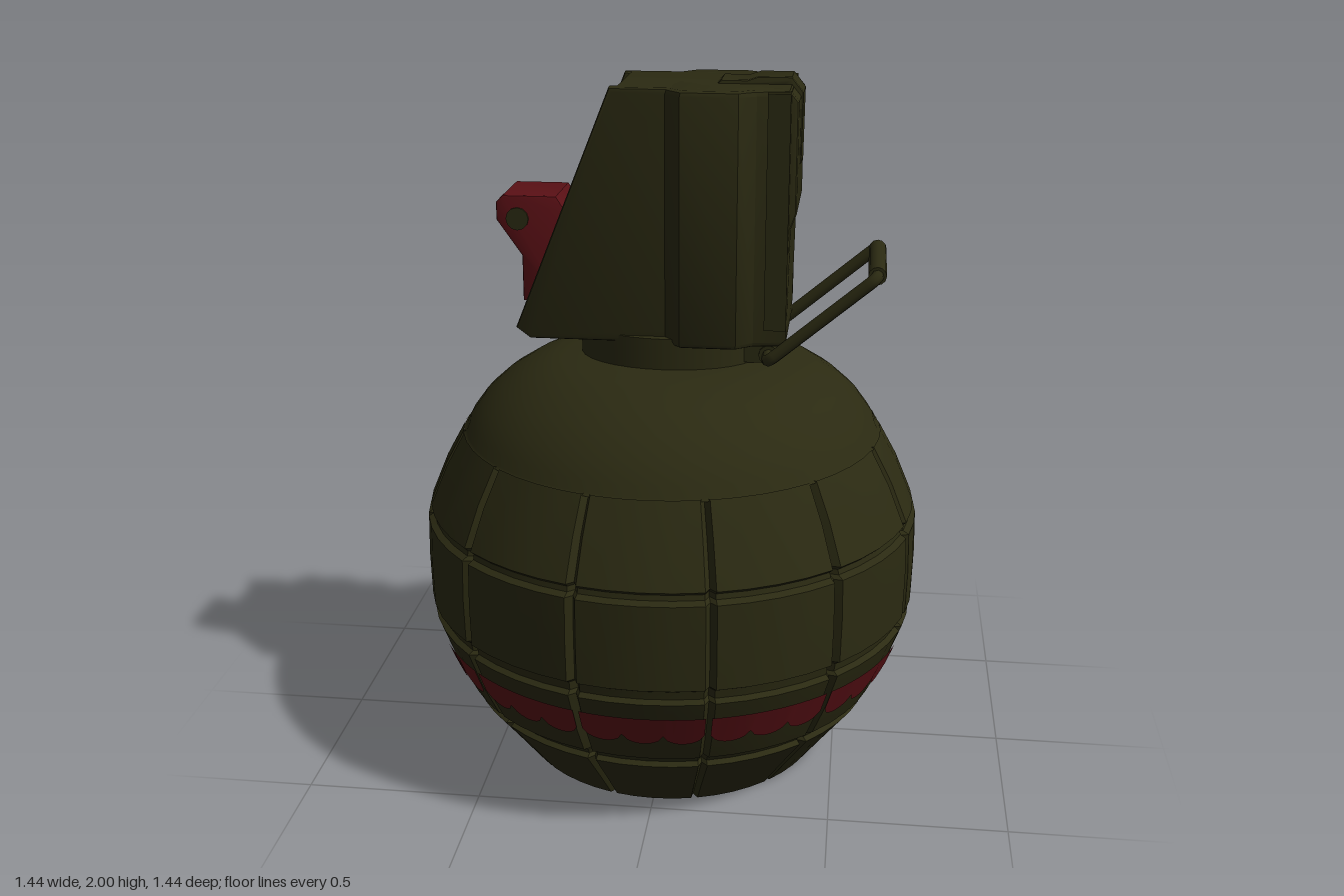
import * as THREE from 'three';
import { toCreasedNormals } from 'three/addons/utils/BufferGeometryUtils.js';

const olive = new THREE.MeshStandardMaterial({ color: 0x2b2a12 });
olive.name = 'dark olive';
const red = new THREE.MeshStandardMaterial({ color: 0x5a1015 });
red.name = 'dark red';

const PANELS = 12;
const STEP = (Math.PI * 2) / PANELS;
const DEG = Math.PI / 180;

// Body outline as [y, radius], with three horizontal grooves
const OUTLINE = [
  [0, 0.45], [0.1, 0.525], [0.195, 0.598], [0.205, 0.585], [0.222, 0.595], [0.235, 0.62],
  [0.34, 0.67], [0.45, 0.71], [0.46, 0.696], [0.485, 0.7], [0.495, 0.717], [0.62, 0.72],
  [0.74, 0.717], [0.75, 0.7], [0.765, 0.697], [0.775, 0.708], [0.89, 0.66], [0.99, 0.605],
];

function radiusAt(y) {
  for (let i = 1; i < OUTLINE.length; i++) {
    const [y0, r0] = OUTLINE[i - 1], [y1, r1] = OUTLINE[i];
    if (y <= y1) return r0 + ((r1 - r0) * (y - y0)) / (y1 - y0);
  }
  return 0.605;
}

function add(group, name, geometry, material = olive) {
  const mesh = new THREE.Mesh(geometry, material);
  mesh.name = name;
  group.add(mesh);
  return mesh;
}

// Surface from a grid of points; columns run counter-clockwise, rows run upwards
function gridSurface(columns, rows, pointAt) {
  const positions = [], index = [];
  for (let j = 0; j < rows; j++) {
    for (let i = 0; i < columns; i++) positions.push(...pointAt(i, j));
  }
  for (let j = 0; j < rows - 1; j++) {
    for (let i = 0; i < columns - 1; i++) {
      const a = j * columns + i, b = a + 1, c = b + columns, d = a + columns;
      index.push(a, b, c, a, c, d);
    }
  }
  const g = new THREE.BufferGeometry();
  g.setAttribute('position', new THREE.Float32BufferAttribute(positions, 3));
  g.setIndex(index);
  g.computeVertexNormals();
  return g;
}

// Extrusion that keeps the given outline at its widest, centred in depth
function slab(points, depth, bevel) {
  const shape = new THREE.Shape(points.map(([x, y]) => new THREE.Vector2(x, y)));
  const g = new THREE.ExtrudeGeometry(shape, {
    depth: depth - bevel * 2, bevelEnabled: true, bevelThickness: bevel,
    bevelSize: bevel, bevelOffset: -bevel, bevelSegments: 2,
  });
  g.translate(0, 0, bevel - depth / 2);
  return toCreasedNormals(g, 0.6);
}

function createBody() {
  const body = new THREE.Group();
  body.name = 'body';

  // Segmented shell with vertical grooves between the panels
  const local = [-15, -13.8, -7, 0, 7, 13.8];
  const rows = [[0, 0], ...OUTLINE];
  const shell = gridSurface(PANELS * local.length + 1, rows.length, (i, j) => {
    const k = i % local.length;
    const a = Math.floor(i / local.length) * STEP + local[k] * DEG;
    const [y, r] = rows[j];
    const radius = Math.max(0, r - (k === 0 ? 0.022 : 0));
    return [Math.sin(a) * radius, y, Math.cos(a) * radius];
  });
  add(body, 'segmentedShell', toCreasedNormals(shell, 0.5));

  // Painted band with a scalloped lower edge, one strip per panel
  const cuts = 24;
  const strip = gridSurface(cuts + 1, 2, (i, j) => {
    const t = i / cuts;
    const a = (t - 0.5) * 28.6 * DEG;
    const y = j ? 0.4 : 0.335 - 0.033 * Math.sqrt(Math.abs(Math.sin(t * Math.PI * 3)));
    const r = radiusAt(y) + 0.005;
    return [Math.sin(a) * r, y, Math.cos(a) * r];
  });
  for (let p = 0; p < PANELS; p++) {
    add(body, 'paintedBand', strip, red).rotation.y = p * STEP;
  }

  // Smooth rounded shoulder
  const shoulder = [
    [0.606, 0.985], [0.597, 0.992], [0.585, 1.02], [0.545, 1.075], [0.49, 1.125],
    [0.42, 1.17], [0.325, 1.207], [0.2, 1.212], [0, 1.213],
  ].map(([x, y]) => new THREE.Vector2(x, y));
  add(body, 'shoulder', new THREE.LatheGeometry(shoulder, 48));
  return body;
}

function createHead() {
  const head = new THREE.Group();
  head.name = 'fuzeHead';

  const neck = new THREE.CylinderGeometry(0.26, 0.26, 0.1, 32);
  neck.scale(1, 1, 0.76);
  neck.translate(0, 1.25, 0);
  add(head, 'neck', neck);

  // Sloping cover: side rails and a slightly sunken centre
  const cover = (inset) => [
    [-0.38, 1.28], [0.29, 1.28], [0.335, 1.33], [0.34, 1.61], [0.355, 1.65], [0.355, 1.95],
    [0.33, 1.98], [-0.15 + inset, 1.98], [-0.42 + inset, 1.31],
  ];
  add(head, 'coverCentre', slab(cover(0.02), 0.3, 0.01));
  for (const side of [-1, 1]) {
    add(head, 'coverRail', slab(cover(0), 0.045, 0.012)).position.z = side * 0.148;
  }

  // Wider upright housing within the cover
  const half = [[0, 0.17], [0.045, 0.22], [0.2, 0.22], [0.245, 0.185], [0.335, 0.17]];
  const plan = [...half.map(([x, z]) => [x, -z]), ...half.reverse()];
  const housing = slab(plan, 0.7, 0.015);
  housing.rotateX(-Math.PI / 2);
  housing.translate(0, 1.63, 0);
  add(head, 'housing', housing);

  const spine = new THREE.BoxGeometry(0.06, 0.64, 0.4);
  spine.translate(0.305, 1.655, 0);
  add(head, 'rearPlate', spine);

  // Tab folded over the top edge
  add(head, 'topTab', slab([
    [0.12, 1.97], [0.3, 1.97], [0.33, 1.94], [0.335, 1.75], [0.36, 1.77], [0.362, 1.96],
    [0.33, 2], [0.24, 2], [0.21, 1.99], [0.14, 1.99],
  ], 0.125, 0.008));

  // Safety block with cross pin
  add(head, 'safetyBlock', slab([
    [-0.41, 1.37], [-0.3, 1.37], [-0.24, 1.55], [-0.285, 1.63], [-0.31, 1.67],
    [-0.46, 1.67], [-0.48, 1.65], [-0.48, 1.6], [-0.41, 1.5],
  ], 0.2, 0.006), red);
  const pin = new THREE.CylinderGeometry(0.032, 0.032, 0.212, 12);
  pin.rotateX(Math.PI / 2);
  pin.translate(-0.42, 1.605, 0);
  add(head, 'crossPin', pin);
  return head;
}

function createPullRing() {
  const ring = new THREE.Group();
  ring.name = 'pullRing';

  // Rectangular wire loop with small rounded corners, tilted outwards
  const low = [0.285, 1.24], high = [0.577, 1.487], w = 0.18, cut = 0.025;
  const at = (t, z) => new THREE.Vector3(
    low[0] + (high[0] - low[0]) * t, low[1] + (high[1] - low[1]) * t, z);
  const e = cut / 0.38;
  const corners = [[0, -w], [1, -w], [1, w], [0, w]];
  const entry = [[0, -w + cut], [1 - e, -w], [1, w - cut], [e, w]];
  const exit = [[e, -w], [1, -w + cut], [1 - e, w], [0, w - cut]];
  const path = new THREE.CurvePath();
  for (let i = 0; i < 4; i++) {
    path.add(new THREE.QuadraticBezierCurve3(at(...entry[i]), at(...corners[i]), at(...exit[i])));
    path.add(new THREE.LineCurve3(at(...exit[i]), at(...entry[(i + 1) % 4])));
  }
  add(ring, 'wireLoop', new THREE.TubeGeometry(path, 120, 0.018, 8, true));

  const grip = new THREE.CylinderGeometry(0.025, 0.025, 0.32, 12);
  grip.rotateX(Math.PI / 2);
  grip.translate(high[0], high[1], 0);
  add(ring, 'gripBar', grip);

  // Hinge sleeve and its bracket on the neck
  const sleeve = new THREE.CylinderGeometry(0.028, 0.028, 0.24, 12);
  sleeve.rotateX(Math.PI / 2);
  sleeve.translate(low[0], low[1], 0);
  add(ring, 'hingeSleeve', sleeve);
  const bracket = new THREE.BoxGeometry(0.1, 0.06, 0.22);
  bracket.translate(0.24, 1.245, 0);
  add(ring, 'hingeBracket', bracket);
  return ring;
}

export function createModel() {
  const model = new THREE.Group();
  model.name = 'grenade';
  model.add(createBody(), createHead(), createPullRing());
  return model;
}
